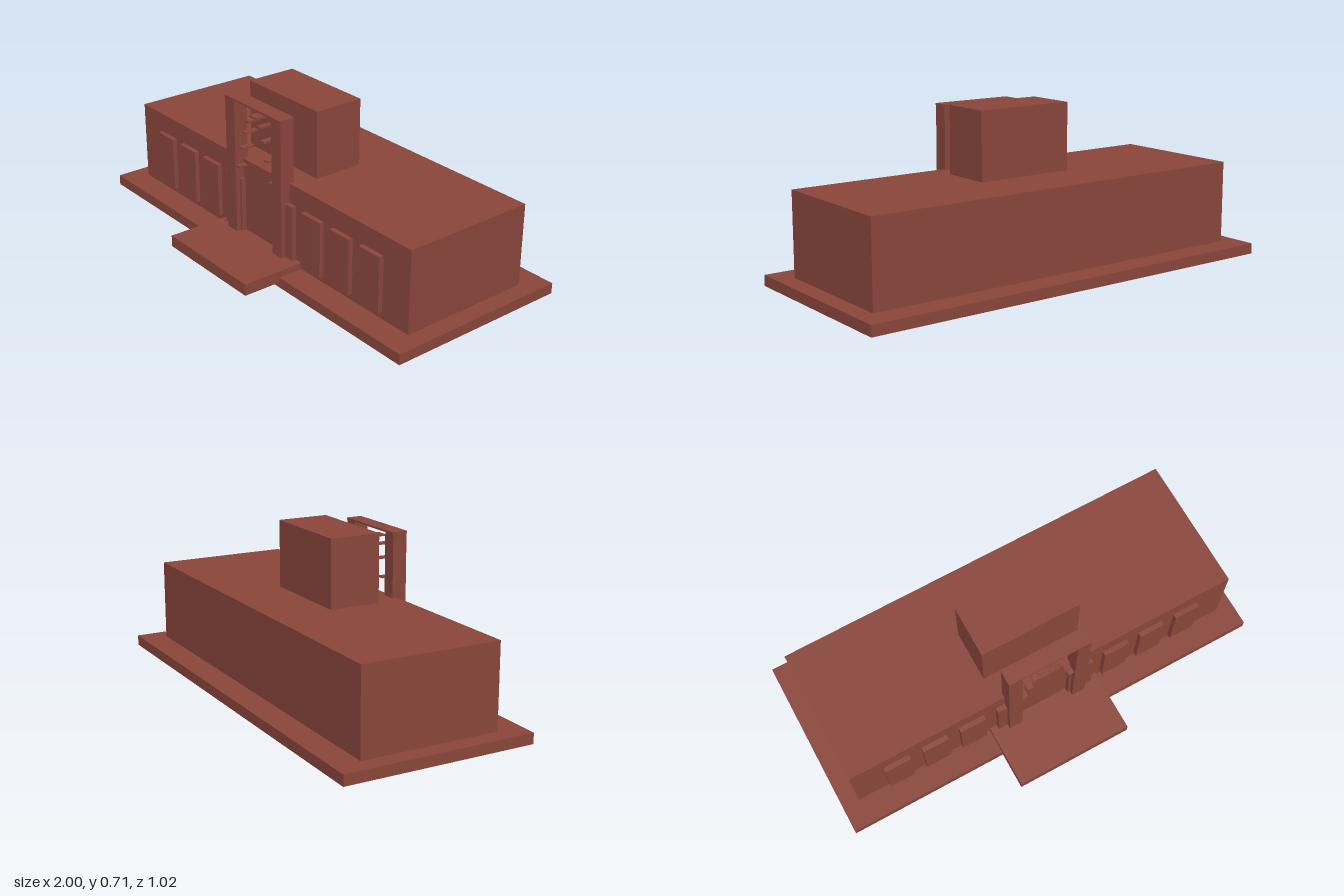
import * as THREE from 'three';

export function createModel() {
  const model = new THREE.Group();
  model.name = 'building';
  const brick = new THREE.MeshStandardMaterial({ color: 0x8a463b });
  brick.name = 'brick red';

  // Box given by its extents on each axis
  function block(name, [x0, x1], [y0, y1], [z0, z1], parent = model) {
    const mesh = new THREE.Mesh(new THREE.BoxGeometry(x1 - x0, y1 - y0, z1 - z0), brick);
    mesh.position.set((x0 + x1) / 2, (y0 + y1) / 2, (z0 + z1) / 2);
    mesh.name = name;
    parent.add(mesh);
  }
  const around = (c, size) => [c - size / 2, c + size / 2];

  // Main masses
  block('basePlatform', [-1, 1], [0, 0.047], [-0.51, 0.335]);
  block('mainHall', [-0.922, 0.922], [0.047, 0.414], [-0.394, 0.22]);
  block('roofTower', [-0.228, 0.228], [0.414, 0.713], [-0.125, 0.105]);
  block('entranceStep', [-0.27, 0.27], [0.025, 0.077], [0.13, 0.51]);

  // Raised window panels along the front
  const windows = new THREE.Group();
  windows.name = 'windowPanels';
  model.add(windows);
  for (const side of [-1, 1]) {
    for (let i = 0; i < 4; i++) {
      block('windowPanel', around(side * (0.175 + i * 0.179), 0.12), [0.078, 0.326], [0.21, 0.242], windows);
    }
  }

  // Entrance portal: two posts and a thin lintel
  const portal = new THREE.Group();
  portal.name = 'entrancePortal';
  model.add(portal);
  for (const side of [-1, 1]) {
    block('portalPost', around(side * 0.159, 0.064), [0.077, 0.691], [0.197, 0.263], portal);
  }
  block('portalLintel', [-0.191, 0.191], [0.691, 0.7], [0.194, 0.266], portal);

  // Small slats stepping down in an arch inside the portal
  block('archSlat', around(0, 0.052), around(0.653, 0.008), around(0.23, 0.06), portal);
  for (const side of [-1, 1]) {
    for (const [x, y] of [[0.039, 0.622], [0.062, 0.565], [0.088, 0.486], [0.111, 0.392]]) {
      block('archSlat', around(side * x, 0.027), around(y, 0.008), around(0.23, 0.06), portal);
    }
  }
  return model;
}
